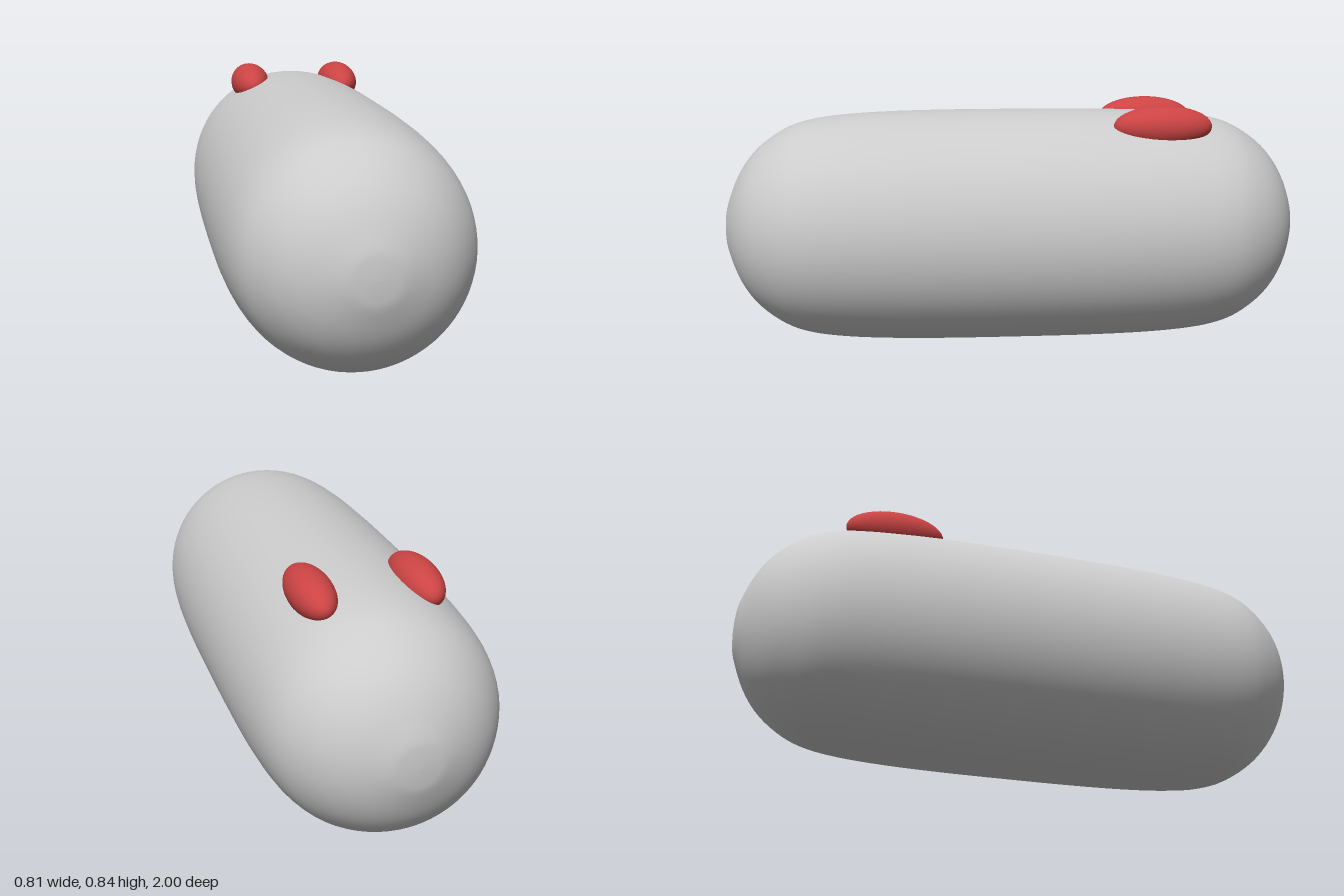
import * as THREE from 'three';

export function createModel() {
  const group = new THREE.Group();
  const centreY = 0.409;

  // Body: smooth rounded capsule, lathed from a half profile (radius, length) and mirrored
  const half = [
    [0.05, 0.997], [0.1, 0.987], [0.2, 0.944], [0.28, 0.882], [0.342, 0.795],
    [0.373, 0.71], [0.39, 0.6], [0.4, 0.45], [0.405, 0.25],
  ];
  const points = [
    [0, -1], ...half.map(([r, l]) => [r, -l]), [0.406, 0],
    ...half.slice().reverse(), [0, 1],
  ].map(([r, l]) => new THREE.Vector2(r, l));
  const profile = new THREE.SplineCurve(points).getPoints(80);
  profile.forEach((p) => { p.x = Math.max(0, p.x); });

  const body = new THREE.Mesh(
    new THREE.LatheGeometry(profile, 72),
    new THREE.MeshStandardMaterial({ color: 0xcccccc }),
  );
  body.name = 'body';
  body.rotation.x = Math.PI / 2;
  body.position.y = centreY;
  group.add(body);

  // Pair of elongated red bumps set into the top near the back
  const red = new THREE.MeshStandardMaterial({ color: 0xcc4444 });
  for (const side of [1, -1]) {
    const bump = new THREE.Mesh(new THREE.SphereGeometry(1, 40, 28), red);
    bump.name = side > 0 ? 'leftBump' : 'rightBump';
    bump.scale.set(0.071, 0.071, 0.169);
    bump.position.set(side * 0.172, 0.77, -0.503);
    group.add(bump);
  }

  return group;
}
